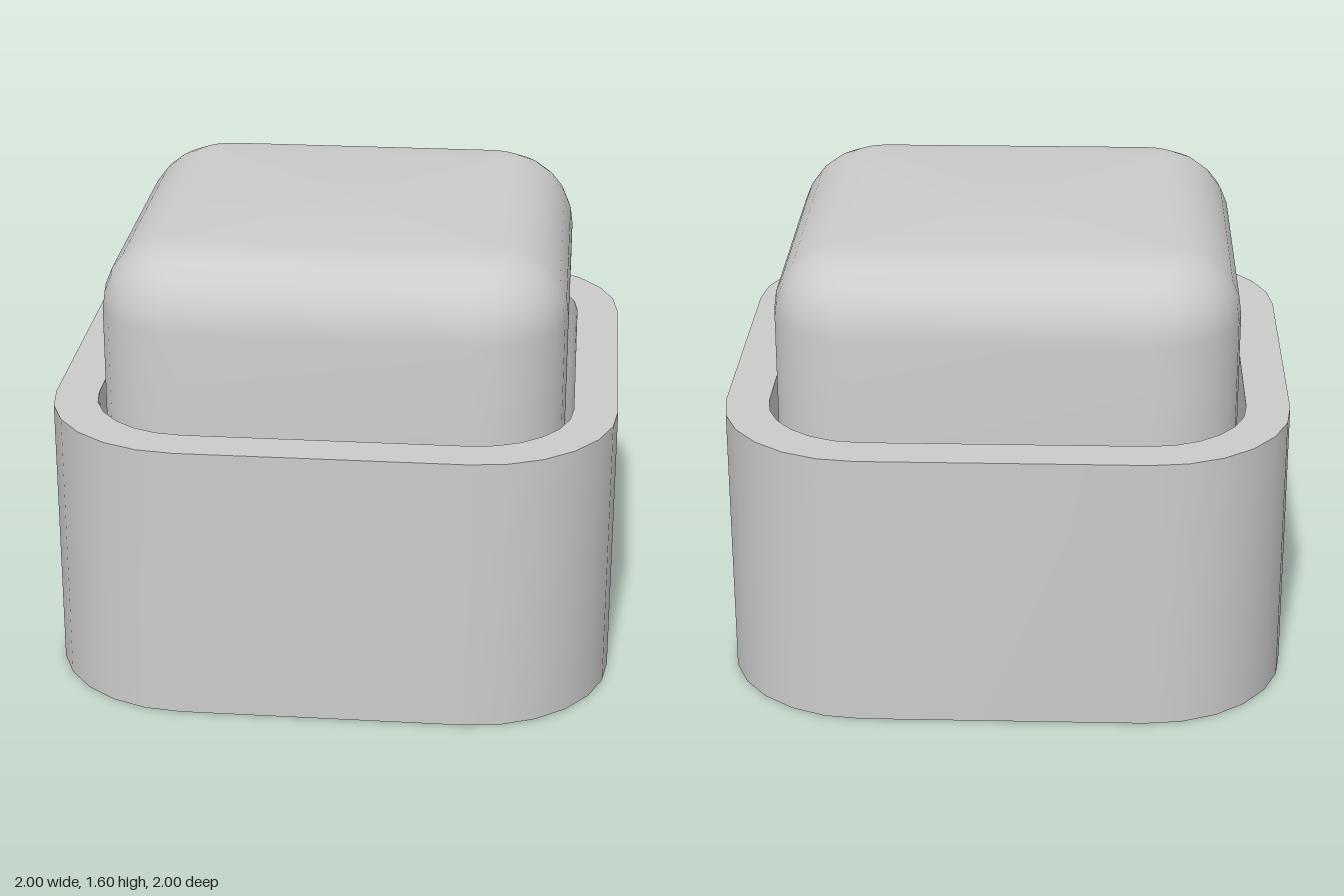
import * as THREE from 'three';
import { toCreasedNormals } from 'three/addons/utils/BufferGeometryUtils.js';

const CORNER_STEPS = 6;

// Rounded-square outline at height y, counter-clockwise seen from above
function ring(half, radius, y) {
  const points = [];
  for (let corner = 0; corner < 4; corner++) {
    const mid = Math.PI / 4 + (corner * Math.PI) / 2;
    const cx = Math.sign(Math.cos(mid)) * (half - radius);
    const cz = Math.sign(Math.sin(mid)) * (half - radius);
    for (let s = 0; s <= CORNER_STEPS; s++) {
      const a = ((corner + s / CORNER_STEPS) * Math.PI) / 2;
      points.push([cx + radius * Math.cos(a), y, -cz - radius * Math.sin(a)]);
    }
  }
  return points;
}

// Skin between successive [half, radius, y] sections; half = 0 closes to a point
function loft(sections) {
  const rings = sections.map((s) => ring(...s));
  const positions = [];
  for (let i = 0; i < rings.length - 1; i++) {
    const lower = rings[i], upper = rings[i + 1], n = lower.length;
    for (let j = 0; j < n; j++) {
      const k = (j + 1) % n;
      if (sections[i][0] > 0) positions.push(...lower[j], ...lower[k], ...upper[k]);
      if (sections[i + 1][0] > 0) positions.push(...lower[j], ...upper[k], ...upper[j]);
    }
  }
  const geometry = new THREE.BufferGeometry();
  geometry.setAttribute('position', new THREE.Float32BufferAttribute(positions, 3));
  return toCreasedNormals(geometry, 0.6);
}

export function createModel() {
  const group = new THREE.Group();
  const material = new THREE.MeshStandardMaterial({ color: 0xcccccc });
  const add = (name, sections) => {
    const mesh = new THREE.Mesh(loft(sections), material);
    mesh.name = name;
    group.add(mesh);
  };

  // Housing: solid base with a rounded pocket
  const floorY = 0.2;
  add('housing', [
    [0, 0, 0], [1, 0.5, 0], [1, 0.5, 1],
    [0.845, 0.35, 1], [0.845, 0.35, floorY], [0, 0, floorY],
  ]);

  // Button cap: straight sides, filleted top edge
  const half = 0.815, corner = 0.32, fillet = 0.25, top = 1.6;
  const cap = [[half, corner, floorY]];
  for (let i = 0; i <= 6; i++) {
    const a = (i / 6) * (Math.PI / 2);
    const inset = fillet * (1 - Math.cos(a));
    cap.push([half - inset, corner - inset, top - fillet + fillet * Math.sin(a)]);
  }
  cap.push([0, 0, top]);
  add('buttonCap', cap);

  return group;
}
